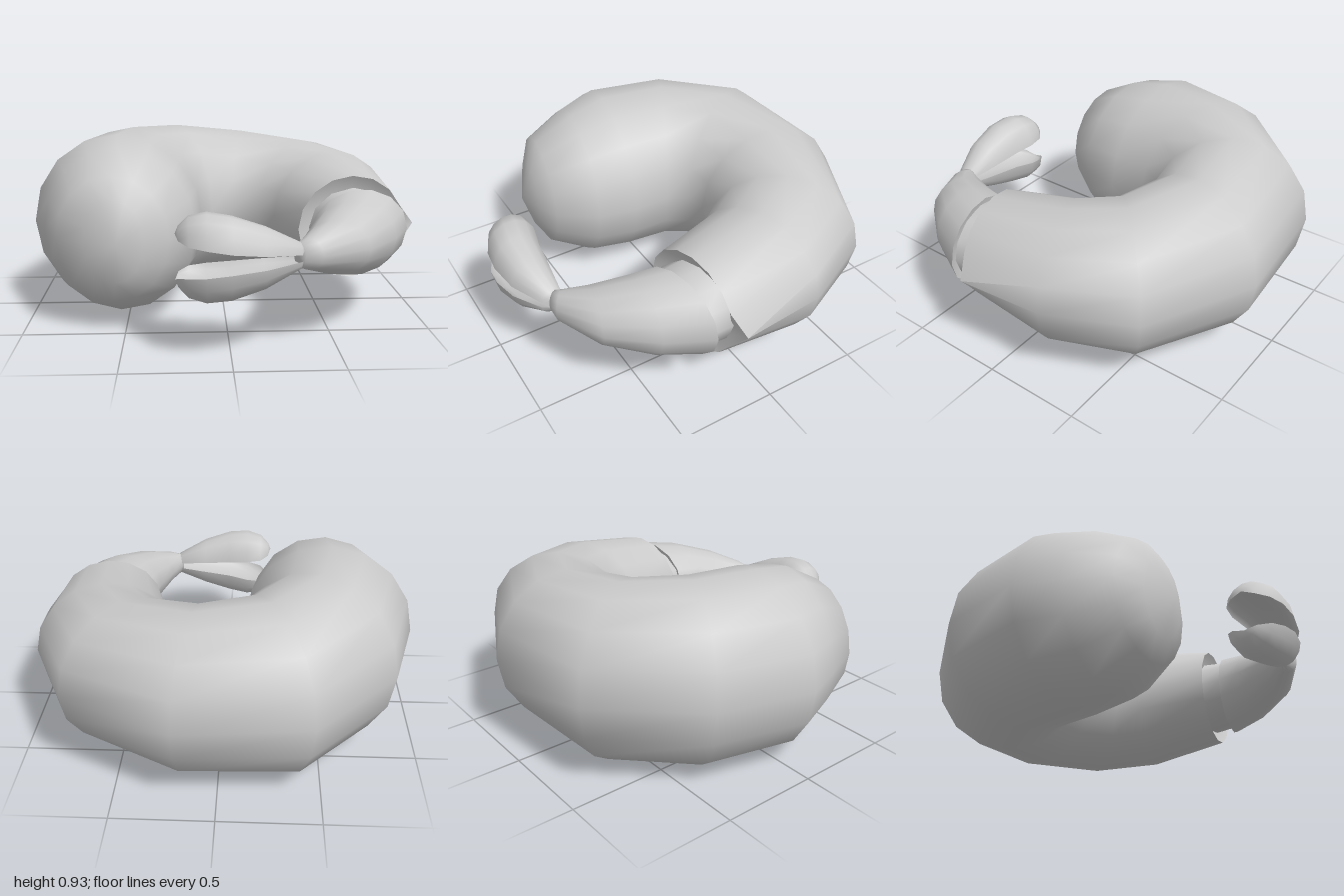
import * as THREE from 'three';
import { mergeVertices, toCreasedNormals } from 'three/addons/utils/BufferGeometryUtils.js';

const MID = 0.47; // height of the symmetry plane

// Elliptical section; a spike pulls the outermost vertex outwards.
const oval = (h) => (t) => h * Math.sin(t);

// Cupped section: domed above the rim, hollow below it.
const cup = (rim, top, sign) => (t) => {
  const s = Math.sin(t);
  return sign * (rim + (top - rim) * (s > 0 ? s : -0.45 * s));
};

// Skin over sections { outer:[x,z], inner:[x,z], y(t), spike }, closed by a point at each end.
function loft(sections, start, end, sides, sign = 1) {
  const pos = [], index = [];
  for (const { outer, inner, y, spike = [0, 0] } of sections) {
    for (let j = 0; j < sides; j++) {
      const t = (sign * j * Math.PI * 2) / sides;
      const k = (1 + Math.cos(t)) / 2;
      const push = j === 0 ? 1 : 0;
      pos.push(
        inner[0] + (outer[0] - inner[0]) * k + spike[0] * push,
        MID + y(t),
        inner[1] + (outer[1] - inner[1]) * k + spike[1] * push
      );
    }
  }
  const n = sections.length, a = n * sides, b = a + 1;
  pos.push(...start, ...end);
  for (let j = 0; j < sides; j++) {
    const k = (j + 1) % sides;
    index.push(a, k, j, b, (n - 1) * sides + j, (n - 1) * sides + k);
    for (let i = 0; i < n - 1; i++) {
      const p = i * sides + j, q = i * sides + k;
      index.push(p, q, p + sides, q, q + sides, p + sides);
    }
  }
  // Mirrored sections run backwards, so the winding stays outward.
  const geo = new THREE.BufferGeometry();
  geo.setAttribute('position', new THREE.Float32BufferAttribute(pos, 3));
  geo.setIndex(index);
  return toCreasedNormals(mergeVertices(geo), 1.1);
}

export function createModel() {
  const group = new THREE.Group();
  const material = new THREE.MeshStandardMaterial({ color: 0xcccccc, side: THREE.DoubleSide });
  const add = (name, geometry) => {
    const mesh = new THREE.Mesh(geometry, material);
    mesh.name = name;
    group.add(mesh);
  };
  const ovals = (rows) => rows.map(([ox, oz, ix, iz, h, spike]) => (
    { outer: [ox, oz], inner: [ix, iz], y: oval(h), spike }));

  // Curled body: outer x, z, inner x, z, half height
  add('curledBody', loft(ovals([
    [-0.69, 0.52, -0.40, 0.55, 0.2],
    [-0.83, 0.44, -0.28, 0.5, 0.31],
    [-0.92, 0.22, -0.15, 0.31, 0.42],
    [-1.0, 0.01, -0.11, 0.1, 0.46],
    [-0.865, -0.47, -0.11, -0.09, 0.465],
    [-0.45, -0.91, -0.05, -0.19, 0.45],
    [0.2, -0.97, 0.06, -0.21, 0.41],
    [0.75, -0.7, 0.2, -0.16, 0.37],
    [0.95, -0.28, 0.28, -0.05, 0.335],
    [0.93, 0.2, 0.37, 0.29, 0.265, [0.06, -0.04]],
    [0.87, 0.17, 0.43, 0.25, 0.2],
  ]), [-0.53, MID, 0.595], [0.64, MID, 0.19], 16));

  // Neck joining the body to the tail
  add('tailNeck', loft(ovals([
    [0.89, 0.15, 0.43, 0.22, 0.2],
    [0.89, 0.3, 0.43, 0.38, 0.18],
  ]), [0.66, MID, 0.16], [0.66, MID, 0.36], 12));

  // Tapering tail segment
  add('tailSegment', loft(ovals([
    [0.88, 0.3, 0.45, 0.37, 0.18],
    [0.93, 0.28, 0.42, 0.37, 0.21],
    [0.82, 0.5, 0.395, 0.49, 0.185],
    [0.65, 0.71, 0.34, 0.64, 0.13],
    [0.41, 0.83, 0.295, 0.74, 0.075],
    [0.33, 0.83, 0.285, 0.76, 0.06],
  ]), [0.66, MID, 0.35], [0.3, MID, 0.8], 14));

  // Tail fins: x, outer z, inner z, rim height, top height
  const fin = [
    [0.31, 0.86, 0.75, 0.015, 0.06],
    [0.15, 0.94, 0.73, 0.03, 0.14],
    [0.0, 0.965, 0.715, 0.045, 0.19],
    [-0.11, 0.955, 0.69, 0.06, 0.205],
    [-0.19, 0.92, 0.695, 0.07, 0.185],
    [-0.235, 0.86, 0.735, 0.085, 0.14],
  ];
  for (const [name, sign] of [['upperTailFin', 1], ['lowerTailFin', -1]]) {
    const sections = fin.map(([x, oz, iz, rim, top]) => (
      { outer: [x, oz], inner: [x, iz], y: (t) => cup(rim, top, sign)(sign * t) }));
    add(name, loft(sections, [0.33, MID + sign * 0.025, 0.8],
      [-0.25, MID + sign * 0.105, 0.8], 14, sign));
  }
  return group;
}
